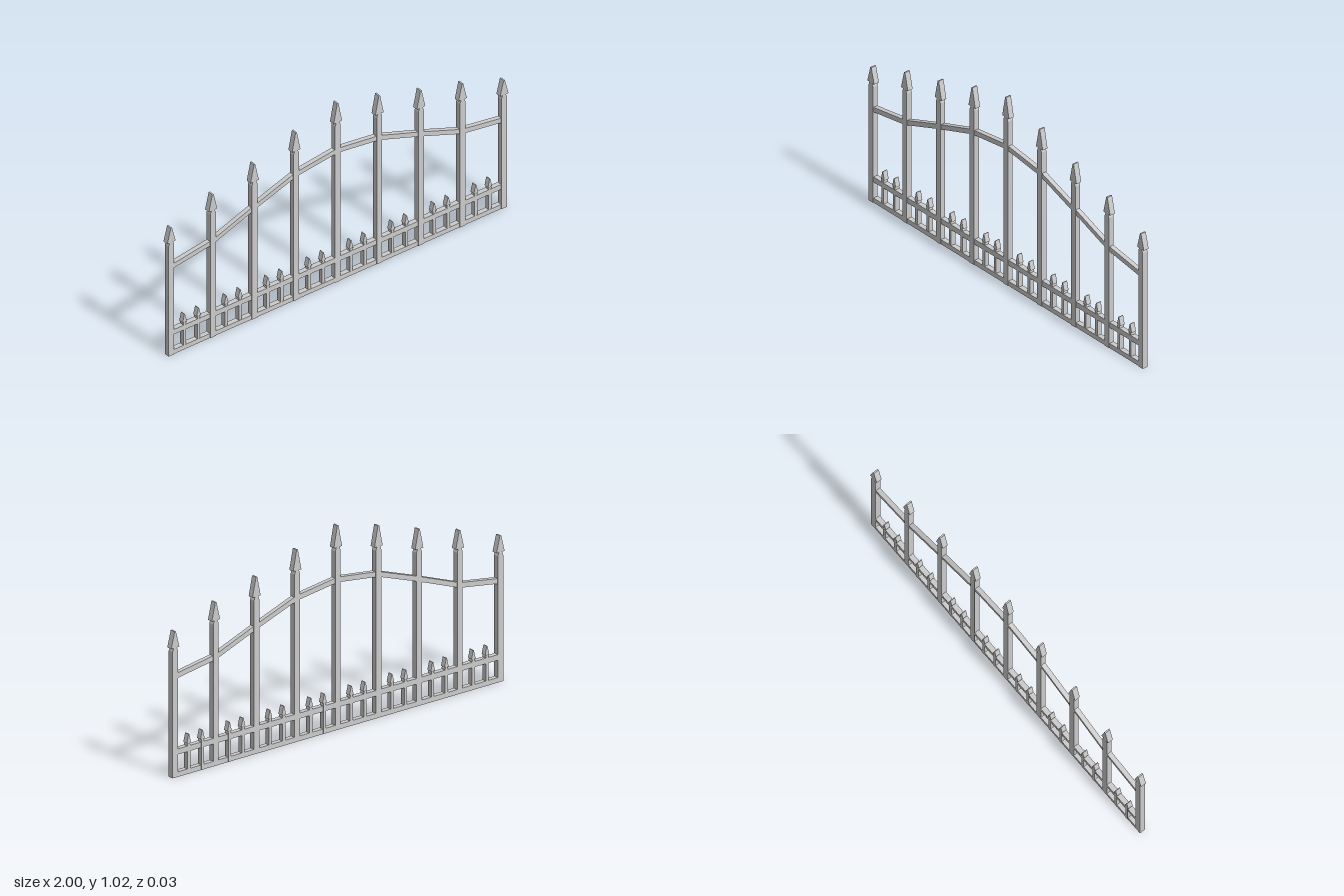
import * as THREE from 'three';

const material = new THREE.MeshStandardMaterial({ color: 0xcccccc, flatShading: true });

// Extrude a closed outline, centred on z
function slab(name, points, depth, z = 0) {
  const shape = new THREE.Shape(points.map(([x, y]) => new THREE.Vector2(x, y)));
  const geometry = new THREE.ExtrudeGeometry(shape, { depth, bevelEnabled: false });
  geometry.translate(0, 0, z - depth / 2);
  const mesh = new THREE.Mesh(geometry, material);
  mesh.name = name;
  return mesh;
}

// Upright bar with a chamfered shoulder, a narrow neck and a spear head
function spearBar(name, { x, tip, head, half, barb, neck, depth, z }) {
  const base = tip - head;
  const right = [
    [half, 0], [half, base - neck], [half * 0.6, base],
    [barb, base], [barb * 0.15, tip],
  ];
  const left = right.map(([px, py]) => [-px, py]).reverse();
  const bar = slab(name, [...right, ...left], depth, z);
  bar.position.x = x;
  return bar;
}

export function createModel() {
  const gate = new THREE.Group();
  gate.name = 'fencePanel';

  const spacing = 0.2437;
  // From the centre outwards
  const tips = [1.023, 0.962, 0.885, 0.818, 0.732];
  const heads = [0.108, 0.104, 0.098, 0.09, 0.082];
  const archY = [0.751, 0.719, 0.634, 0.543, 0.505];

  // Main posts
  for (let i = -4; i <= 4; i++) {
    const k = Math.abs(i);
    gate.add(spearBar('post', {
      x: i * spacing, tip: tips[k], head: heads[k],
      half: 0.016, barb: 0.0245, neck: 0.018, depth: 0.029, z: 0.0005,
    }));
  }

  // Short pickets, two in each bay
  for (let bay = -3.5; bay <= 3.5; bay++) {
    for (const side of [-1, 1]) {
      gate.add(spearBar('picket', {
        x: bay * spacing + side * 0.041, tip: 0.199, head: 0.044,
        half: 0.008, barb: 0.0125, neck: 0.008, depth: 0.026, z: -0.002,
      }));
    }
  }

  // Arched top rail
  const upper = [], lower = [];
  for (let i = -4; i <= 4; i++) {
    const y = archY[Math.abs(i)];
    upper.push([i * spacing, y + 0.013]);
    lower.push([i * spacing, y - 0.013]);
  }
  gate.add(slab('archRail', [...lower, ...upper.reverse()], 0.024));

  // Straight lower rails
  for (const [name, y, height] of [['bottomRail', 0.0125, 0.025], ['middleRail', 0.126, 0.028]]) {
    const rail = new THREE.Mesh(new THREE.BoxGeometry(1.96, height, 0.026), material);
    rail.name = name;
    rail.position.set(0, y, -0.001);
    gate.add(rail);
  }

  return gate;
}
